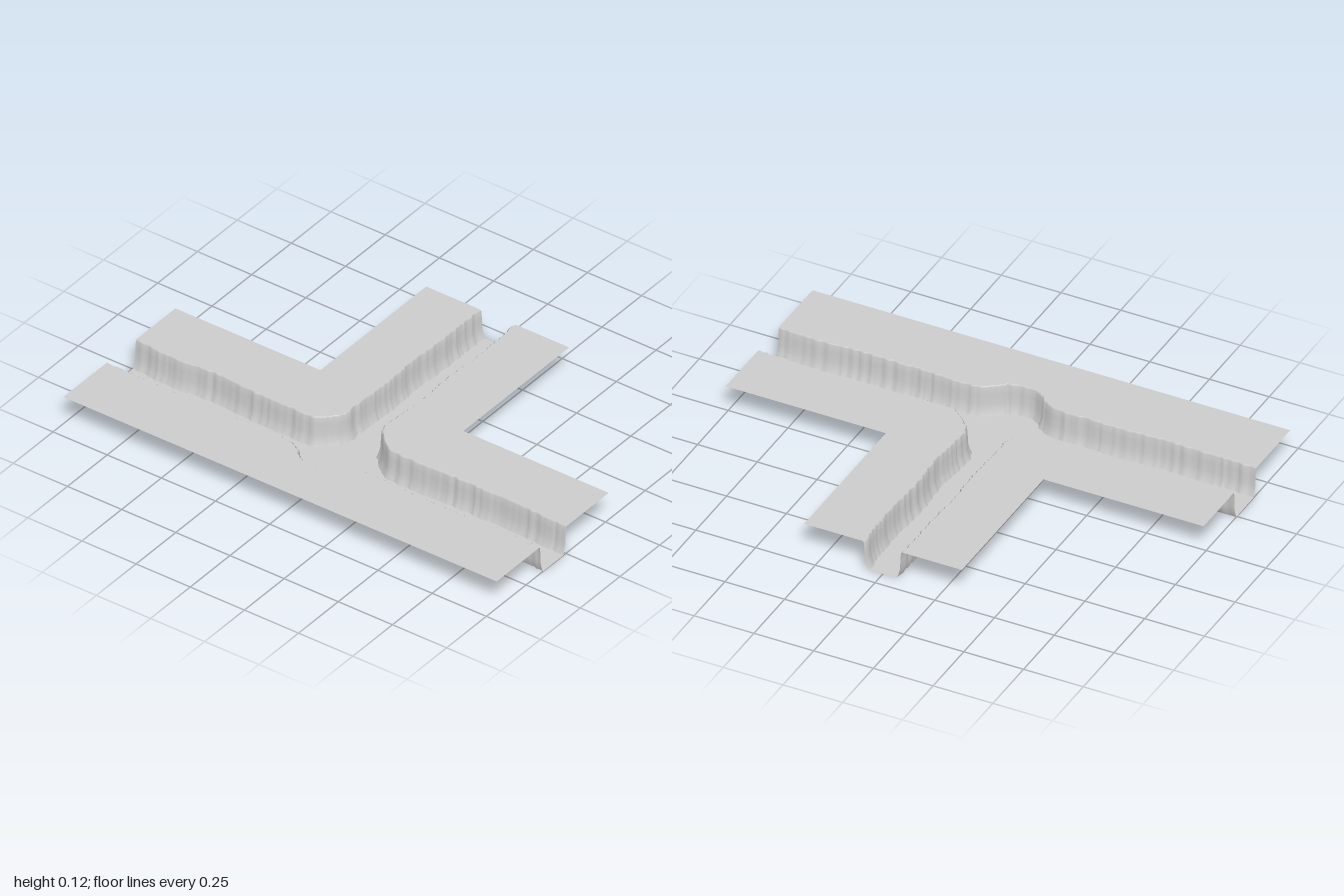
import * as THREE from 'three';

const TOP = 0.122;
// wall profile from rim to floor: [height, inset towards the channel]
const PROFILE = [[TOP, 0], [0.117, 0.005], [0.085, 0.007], [0.045, 0.009], [0.018, 0.015], [0, 0.023]];

const material = new THREE.MeshStandardMaterial({ color: 0xcccccc, side: THREE.DoubleSide });

function makeRandom(seed) {
  return () => {
    seed = (seed * 16807) % 2147483647;
    return seed / 2147483647 - 0.5;
  };
}

// Rough rim line: rows of points, one row per profile level, channel on the inward side
function wallRows(points, seed) {
  const random = makeRandom(seed);
  const curve = new THREE.CatmullRomCurve3(points.map(([x, z]) => new THREE.Vector3(x, 0, z)), false, 'centripetal');
  const steps = Math.round(curve.getLength() / 0.011);
  const rows = PROFILE.map(() => []);
  for (let i = 0; i <= steps; i++) {
    const p = curve.getPointAt(i / steps);
    const t = curve.getTangentAt(i / steps);
    const rough = random() * 0.009 + Math.sin(i * 0.21 + seed) * 0.002;
    PROFILE.forEach(([y, inset], r) => {
      const d = inset + rough * (r === 0 ? 0.8 : 1);
      rows[r].push(new THREE.Vector3(
        THREE.MathUtils.clamp(p.x - t.z * d, -1, 1), y,
        Math.max(p.z + t.x * d, -0.685)));
    });
  }
  return rows;
}

function wallGeometry(rows) {
  const n = rows[0].length;
  const index = [];
  for (let r = 0; r < rows.length - 1; r++) {
    for (let i = 0; i < n - 1; i++) {
      const a = r * n + i, b = a + n;
      index.push(a, b, a + 1, a + 1, b, b + 1);
    }
  }
  const geometry = new THREE.BufferGeometry().setFromPoints(rows.flat());
  geometry.setIndex(index);
  geometry.computeVertexNormals();
  return geometry;
}

// Flat sheet facing up, outlined by points in x and z
function sheetGeometry(outline, y) {
  const shape = new THREE.Shape(outline.map(p => new THREE.Vector2(p.x, -p.z)));
  return new THREE.ShapeGeometry(shape).rotateX(-Math.PI / 2).translate(0, y, 0);
}

export function createModel() {
  const group = new THREE.Group();
  const add = (name, geometry) => {
    const mesh = new THREE.Mesh(geometry, material);
    mesh.name = name;
    group.add(mesh);
  };

  // three banks of the T-shaped trench: rim line, then outer corners of the ground
  const banks = [
    {
      name: 'front', seed: 11,
      rim: [[1, 0.41], [0.8, 0.41], [0.5, 0.418], [0.3, 0.41], [0.17, 0.413], [0.12, 0.435], [0.07, 0.477],
        [0, 0.488], [-0.06, 0.48], [-0.1, 0.445], [-0.16, 0.415], [-0.4, 0.412], [-0.75, 0.418], [-1, 0.41]],
      corners: [[-1, 0.685], [1, 0.685]],
    },
    {
      name: 'right', seed: 23,
      rim: [[-1, 0.23], [-0.8, 0.235], [-0.6, 0.225], [-0.4, 0.235], [-0.25, 0.236], [-0.17, 0.23],
        [-0.13, 0.195], [-0.095, 0.145], [-0.092, 0.08], [-0.088, -0.15], [-0.09, -0.35], [-0.083, -0.55], [-0.085, -0.685]],
      corners: [[-0.33, -0.685], [-0.33, -0.02], [-1, -0.02]],
    },
    {
      name: 'left', seed: 37,
      rim: [[0.08, -0.685], [0.09, -0.55], [0.083, -0.3], [0.086, -0.1], [0.08, 0.05], [0.08, 0.135],
        [0.12, 0.19], [0.165, 0.23], [0.22, 0.237], [0.45, 0.236], [0.7, 0.232], [0.85, 0.24], [1, 0.242]],
      corners: [[1, -0.02], [0.33, -0.02], [0.33, -0.685]],
    },
  ];

  const floorOutline = [];
  for (const { name, seed, rim, corners } of banks) {
    const rows = wallRows(rim, seed);
    add(name + 'TrenchWall', wallGeometry(rows));
    add(name + 'Ground', sheetGeometry([...rows[0], ...corners.map(([x, z]) => new THREE.Vector3(x, 0, z))], TOP));
    floorOutline.push(...rows[rows.length - 1]);
  }
  add('trenchFloor', sheetGeometry(floorOutline, 0));
  return group;
}
